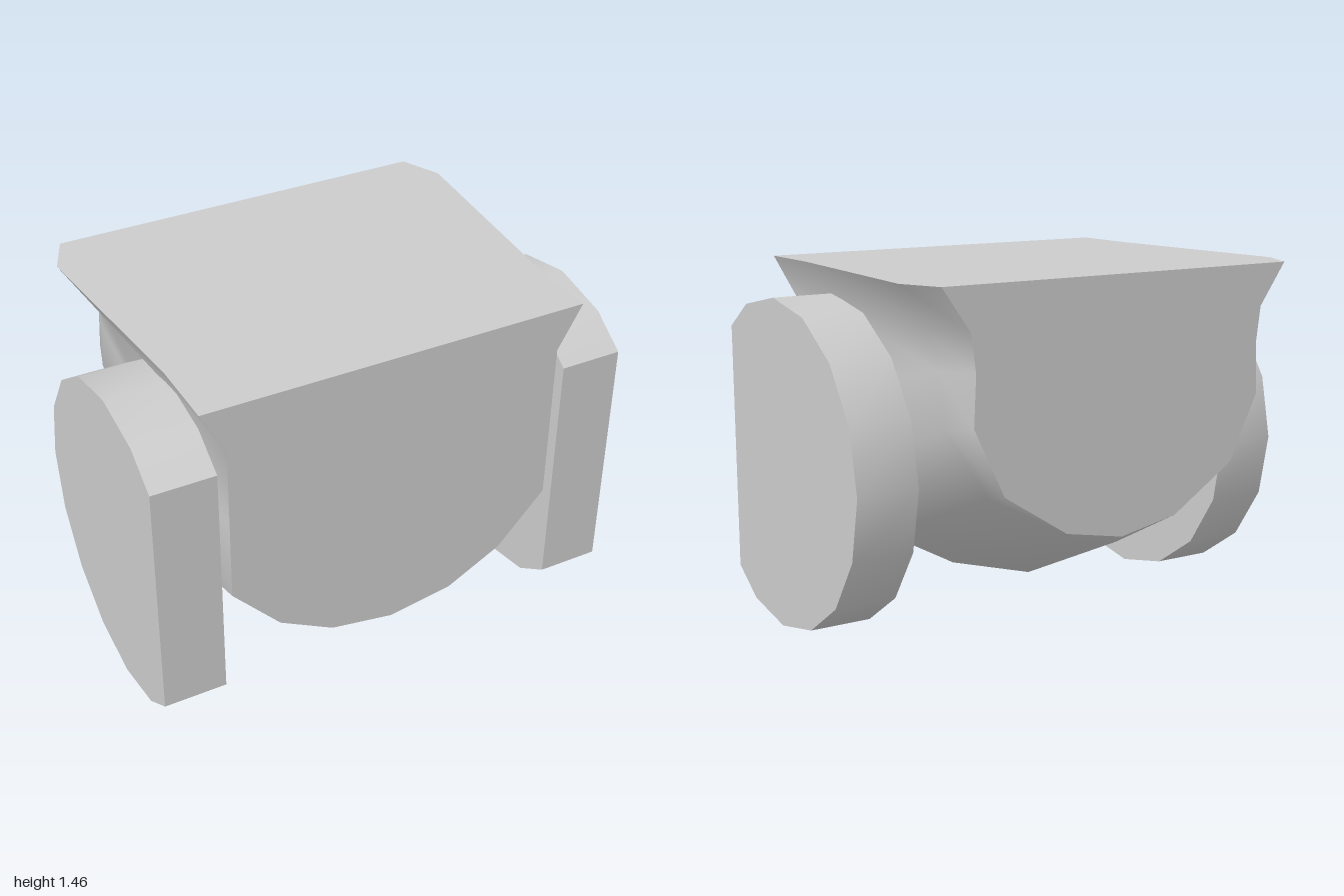
import * as THREE from 'three';
import { mergeGeometries, toCreasedNormals } from 'three/addons/utils/BufferGeometryUtils.js';

// Half cross-sections of the body, front to back, each from top edge to keel: [x, y, z]
const SECTIONS = [
  [[0.8, 1.46, 0.68], [0.7, 1.28, 0.68], [0.7, 0.94, 0.68], [0.7, 0.6, 0.68], [0.5, 0.38, 0.68], [0.27, 0.255, 0.68], [0, 0.21, 0.68]],
  [[0.8, 1.46, 0.38], [0.72, 1.29, 0.37], [0.73, 0.92, 0.35], [0.735, 0.555, 0.33], [0.52, 0.315, 0.28], [0.27, 0.18, 0.14], [0, 0.135, -0.03]],
  [[0.875, 1.46, -0.51], [0.735, 1.28, -0.44], [0.71, 1.13, -0.5], [0.71, 0.92, -0.55], [0.56, 0.65, -0.6], [0.27, 0.47, -0.63], [0, 0.41, -0.64]],
  [[0.8, 1.46, -0.68], [0.68, 1.29, -0.68], [0.66, 1.14, -0.68], [0.67, 0.94, -0.68], [0.54, 0.67, -0.68], [0.26, 0.49, -0.68], [0, 0.44, -0.68]],
];

// Triangle soup from quads, skipping collapsed triangles
function quadGeometry(quads) {
  const pos = [];
  for (const [a, b, c, d] of quads) {
    for (const tri of [[a, b, c], [a, c, d]]) {
      const v = tri.map((p) => new THREE.Vector3(...p));
      if (new THREE.Triangle(...v).getArea() > 1e-7) tri.forEach((p) => pos.push(...p));
    }
  }
  const g = new THREE.BufferGeometry();
  g.setAttribute('position', new THREE.Float32BufferAttribute(pos, 3));
  g.computeVertexNormals();
  return g;
}

const mirror = ([x, y, z]) => [-x, y, z];

function bodyGeometry() {
  const rings = SECTIONS.map((half) => [...half, ...half.slice(0, -1).reverse().map(mirror)]);
  const hull = [], flats = [];
  // Curved hull between neighbouring sections, and the flat top above it
  for (let r = 0; r < rings.length - 1; r++) {
    const f = rings[r], b = rings[r + 1], last = f.length - 1;
    for (let k = 0; k < last; k++) hull.push([f[k], f[k + 1], b[k + 1], b[k]]);
    flats.push([f[last], f[0], b[0], b[last]]);
  }
  // Flat front and back faces
  const front = SECTIONS[0], back = SECTIONS[SECTIONS.length - 1];
  for (let k = 0; k < front.length - 1; k++) {
    flats.push([mirror(front[k]), mirror(front[k + 1]), front[k + 1], front[k]]);
    flats.push([back[k], back[k + 1], mirror(back[k + 1]), mirror(back[k])]);
  }
  return mergeGeometries([toCreasedNormals(quadGeometry(hull), 0.9), quadGeometry(flats)]);
}

// Sixteen-sided disc, cut flat at the front
function discGeometry(thickness) {
  const R = 0.67, cz = 0.27, cutZ = 0.68;
  const pts = [new THREE.Vector2(-cutZ, 1.183)];
  for (let i = -1; i <= 9; i++) {
    const a = (i * Math.PI) / 8;
    pts.push(new THREE.Vector2(-cz + R * Math.sin(a), R + R * Math.cos(a)));
  }
  pts.push(new THREE.Vector2(-cutZ, 0.157));
  const g = new THREE.ExtrudeGeometry(new THREE.Shape(pts), { depth: thickness, bevelEnabled: false });
  g.rotateY(Math.PI / 2); // shape x becomes -z, depth runs along +x
  return toCreasedNormals(g, 0.6);
}

export function createModel() {
  const group = new THREE.Group();
  const material = new THREE.MeshStandardMaterial({ color: 0xcccccc });

  const body = new THREE.Mesh(bodyGeometry(), material);
  body.name = 'body';
  group.add(body);

  // Side discs
  const thickness = 0.26;
  const disc = discGeometry(thickness);
  for (const [name, x] of [['leftDisc', 1 - thickness], ['rightDisc', -1]]) {
    const mesh = new THREE.Mesh(disc, material);
    mesh.name = name;
    mesh.position.x = x;
    group.add(mesh);
  }
  return group;
}
